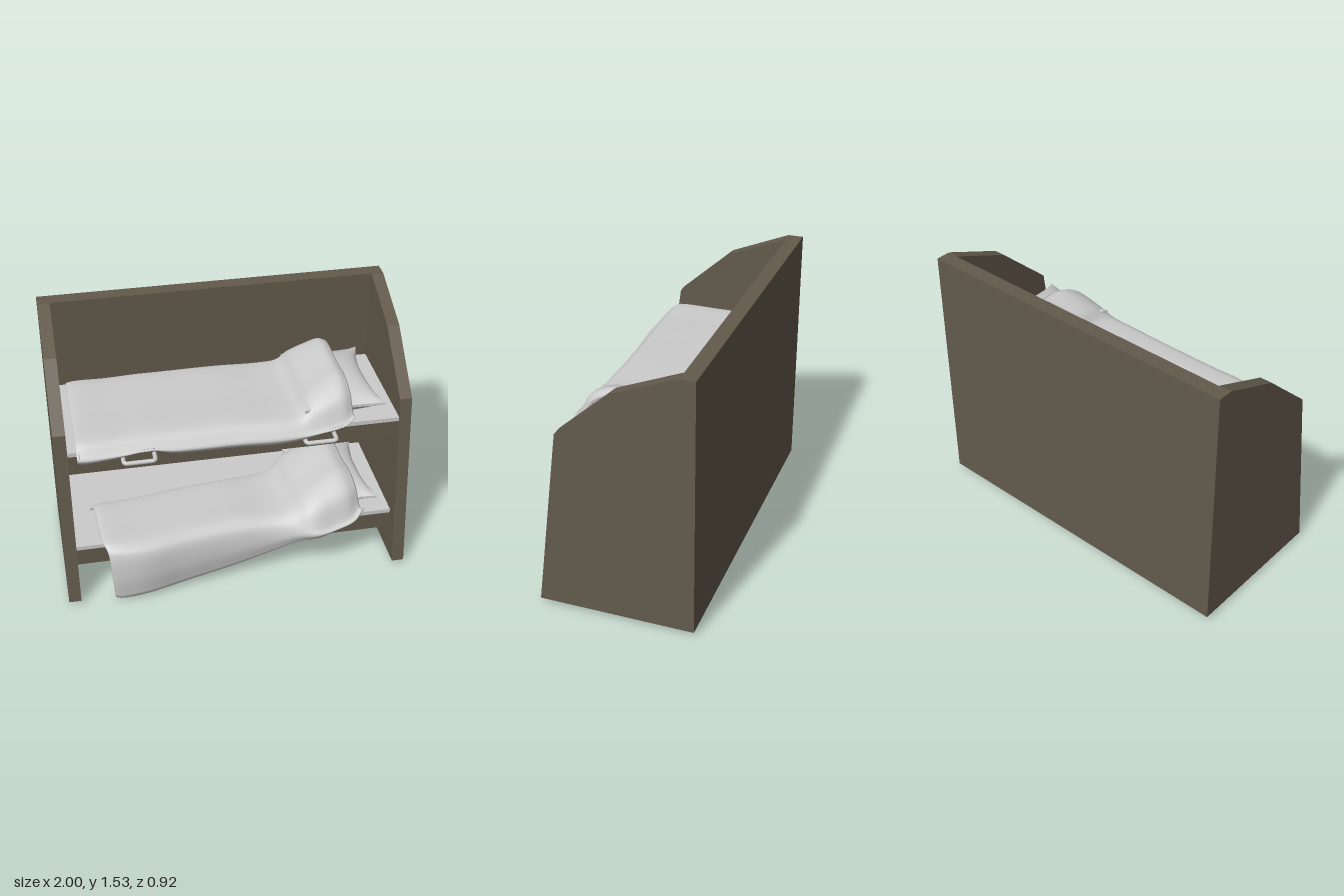
import * as THREE from 'three';

const grey = new THREE.MeshStandardMaterial({ color: 0xcccccc, side: THREE.DoubleSide });
const brown = new THREE.MeshStandardMaterial({ color: 0x635a4c });

function add(parent, name, geometry, material, x = 0, y = 0, z = 0) {
  const mesh = new THREE.Mesh(geometry, material);
  mesh.name = name;
  mesh.position.set(x, y, z);
  parent.add(mesh);
  return mesh;
}

// Side panel outline as (z, y), extruded across its thickness
function sidePanelGeometry() {
  const outline = [[-0.46, 0.03], [0.435, 0.03], [0.3, 1.105], [-0.02, 1.395], [-0.37, 1.54], [-0.46, 1.54]];
  const shape = new THREE.Shape(outline.map(([z, y]) => new THREE.Vector2(-z, y)));
  const geometry = new THREE.ExtrudeGeometry(shape, { depth: 0.07, bevelEnabled: false });
  return geometry.rotateY(Math.PI / 2).translate(-0.035, 0, 0);
}

// Cushion with pinched edges, drawn-out corners and a thin seam
function pillowGeometry() {
  const geometry = new THREE.BoxGeometry(2, 2, 2, 20, 1, 20);
  const p = geometry.attributes.position;
  for (let i = 0; i < p.count; i++) {
    const u = p.getX(i), v = p.getZ(i), side = Math.sign(p.getY(i));
    const puff = Math.pow((1 - u * u) * (1 - v * v), 0.6);
    p.setXYZ(i,
      0.23 * u * (1 - 0.22 * (1 - v * v) * u * u),
      side * (0.008 + 0.085 * puff) - 0.015 * (1 - u * u),
      0.305 * v * (1 - 0.1 * (1 - u * u) * v * v));
  }
  geometry.computeVertexNormals();
  return geometry;
}

// One blanket cross-section, running from the back hem over the top to the front hem
function blanketSection(base, [xBack, xHem, top, back, front, hem, round]) {
  const mix = THREE.MathUtils.lerp;
  const edge = Math.max(base, hem + 0.02);
  const points = [
    [back, base + 0.008],
    [back + 0.005, mix(base, top, 0.75)],
    [back + 0.02 + round * 0.3, top],
    [mix(back, front, 0.5), top],
    [front - 0.04 - round, top - 0.004],
    [front - 0.04 - round * 0.3, mix(top, edge, 0.35)],
    [front - 0.02, edge],
    [front, mix(edge, hem, 0.5)],
    [front - 0.015, hem],
  ];
  return new THREE.CatmullRomCurve3(points.map(([z, y], i) =>
    new THREE.Vector3(mix(xBack, xHem, i / (points.length - 1)), y, z)));
}

// Thick cloth lofted through the key sections
function blanketGeometry(base, keys, nu = 70, nv = 50, thickness = 0.014) {
  const sections = keys.map((key) => blanketSection(base, key));
  const positions = [], index = [];
  for (let j = 0; j <= nv; j++) {
    const row = new THREE.CatmullRomCurve3(sections.map((s) => s.getPoint(j / nv)));
    for (let i = 0; i <= nu; i++) positions.push(...row.getPoint(i / nu).toArray());
  }
  const at = (i, j) => j * (nu + 1) + i;
  for (let j = 0; j < nv; j++) {
    for (let i = 0; i < nu; i++) {
      const a = at(i, j), b = at(i, j + 1), c = at(i + 1, j), d = at(i + 1, j + 1);
      index.push(a, b, c, c, b, d);
    }
  }
  const geometry = new THREE.BufferGeometry();
  geometry.setAttribute('position', new THREE.Float32BufferAttribute(positions, 3));
  geometry.setIndex(index);
  geometry.computeVertexNormals();

  // Inner layer
  const normals = geometry.attributes.normal.array;
  const count = positions.length / 3;
  const inner = positions.map((value, k) => value - normals[k] * thickness);
  const all = index.slice();
  for (let k = 0; k < index.length; k += 3) all.push(index[k] + count, index[k + 2] + count, index[k + 1] + count);

  // Hem joining both layers
  const rim = [];
  for (let j = 0; j < nv; j++) rim.push(at(0, j));
  for (let i = 0; i < nu; i++) rim.push(at(i, nv));
  for (let j = nv; j > 0; j--) rim.push(at(nu, j));
  for (let i = nu; i > 0; i--) rim.push(at(i, 0));
  rim.forEach((p, k) => {
    const q = rim[(k + 1) % rim.length];
    all.push(q, p, p + count, q, p + count, q + count);
  });
  geometry.setAttribute('position', new THREE.Float32BufferAttribute(positions.concat(inner), 3));
  geometry.setIndex(all);
  geometry.computeVertexNormals();
  return geometry;
}

// Rounded U-shaped pull handle
function handleGeometry() {
  const path = new THREE.CurvePath();
  const v = (x, z) => new THREE.Vector3(x, 0, z);
  path.add(new THREE.LineCurve3(v(-0.087, -0.01), v(-0.087, 0.045)));
  path.add(new THREE.QuadraticBezierCurve3(v(-0.087, 0.045), v(-0.087, 0.067), v(-0.065, 0.067)));
  path.add(new THREE.LineCurve3(v(-0.065, 0.067), v(0.065, 0.067)));
  path.add(new THREE.QuadraticBezierCurve3(v(0.065, 0.067), v(0.087, 0.067), v(0.087, 0.045)));
  path.add(new THREE.LineCurve3(v(0.087, 0.045), v(0.087, -0.01)));
  return new THREE.TubeGeometry(path, 48, 0.0125, 10);
}

// Blanket keys: x at back, x at hem, top y, back z, front z, hem y, shoulder roundness
const upperBlanket = [
  [-0.87, -0.865, 1.012, -0.33, 0.34, 0.95, 0.03],
  [-0.885, -0.88, 1.035, -0.335, 0.355, 0.942, 0.03],
  [-0.85, -0.84, 1.046, -0.34, 0.365, 0.938, 0.04],
  [-0.65, -0.65, 1.046, -0.34, 0.365, 0.955, 0.05],
  [-0.48, -0.48, 1.05, -0.345, 0.36, 0.978, 0.05],
  [-0.36, -0.36, 1.05, -0.345, 0.36, 0.945, 0.05],
  [0, 0, 1.052, -0.345, 0.36, 0.935, 0.05],
  [0.25, 0.25, 1.047, -0.34, 0.37, 0.932, 0.05],
  [0.36, 0.37, 1.06, -0.34, 0.37, 0.945, 0.07],
  [0.42, 0.45, 1.125, -0.335, 0.37, 0.965, 0.12],
  [0.52, 0.55, 1.18, -0.33, 0.365, 0.985, 0.15],
  [0.59, 0.63, 1.205, -0.33, 0.35, 1.0, 0.16],
  [0.63, 0.68, 1.19, -0.325, 0.315, 1.02, 0.15],
];
const lowerBlanket = [
  [-0.825, -0.73, 0.372, -0.01, 0.435, 0.012, 0.04],
  [-0.79, -0.70, 0.38, -0.015, 0.445, 0.008, 0.05],
  [-0.6, -0.55, 0.38, -0.03, 0.457, 0.03, 0.06],
  [-0.3, -0.3, 0.385, -0.07, 0.415, 0.055, 0.06],
  [0, 0, 0.388, -0.1, 0.38, 0.1, 0.05],
  [0.2, 0.22, 0.38, -0.13, 0.375, 0.165, 0.05],
  [0.29, 0.36, 0.40, -0.15, 0.4, 0.23, 0.08],
  [0.36, 0.48, 0.47, -0.19, 0.44, 0.275, 0.13],
  [0.48, 0.60, 0.53, -0.21, 0.425, 0.31, 0.15],
  [0.59, 0.70, 0.56, -0.22, 0.40, 0.335, 0.16],
  [0.66, 0.765, 0.54, -0.22, 0.345, 0.37, 0.14],
];

function createBunk(name, base, blanketKeys) {
  const bunk = new THREE.Group();
  bunk.name = name;
  add(bunk, 'bunkBase', new THREE.BoxGeometry(1.86, 0.11, 0.68), brown, 0, base - 0.08, -0.03);
  add(bunk, 'mattress', new THREE.BoxGeometry(1.86, 0.025, 0.685), grey, 0, base - 0.0125, -0.0275);
  add(bunk, 'pillow', pillowGeometry(), grey, 0.62, base + 0.085, -0.015);
  add(bunk, 'blanket', blanketGeometry(base, blanketKeys), grey);
  for (const x of [-0.545, 0.47]) add(bunk, 'pullHandle', handleGeometry(), grey, x, base - 0.062, 0.312);
  return bunk;
}

export function createModel() {
  const model = new THREE.Group();
  model.name = 'bunkBed';

  // Surrounding frame
  add(model, 'leftSidePanel', sidePanelGeometry(), brown, 0.965);
  add(model, 'rightSidePanel', sidePanelGeometry(), brown, -0.965);
  add(model, 'backPanel', new THREE.BoxGeometry(1.86, 1.51, 0.085), brown, 0, 0.785, -0.4175);

  // Two made-up bunks
  model.add(createBunk('upperBunk', 0.995, upperBlanket));
  model.add(createBunk('lowerBunk', 0.333, lowerBlanket));
  return model;
}
